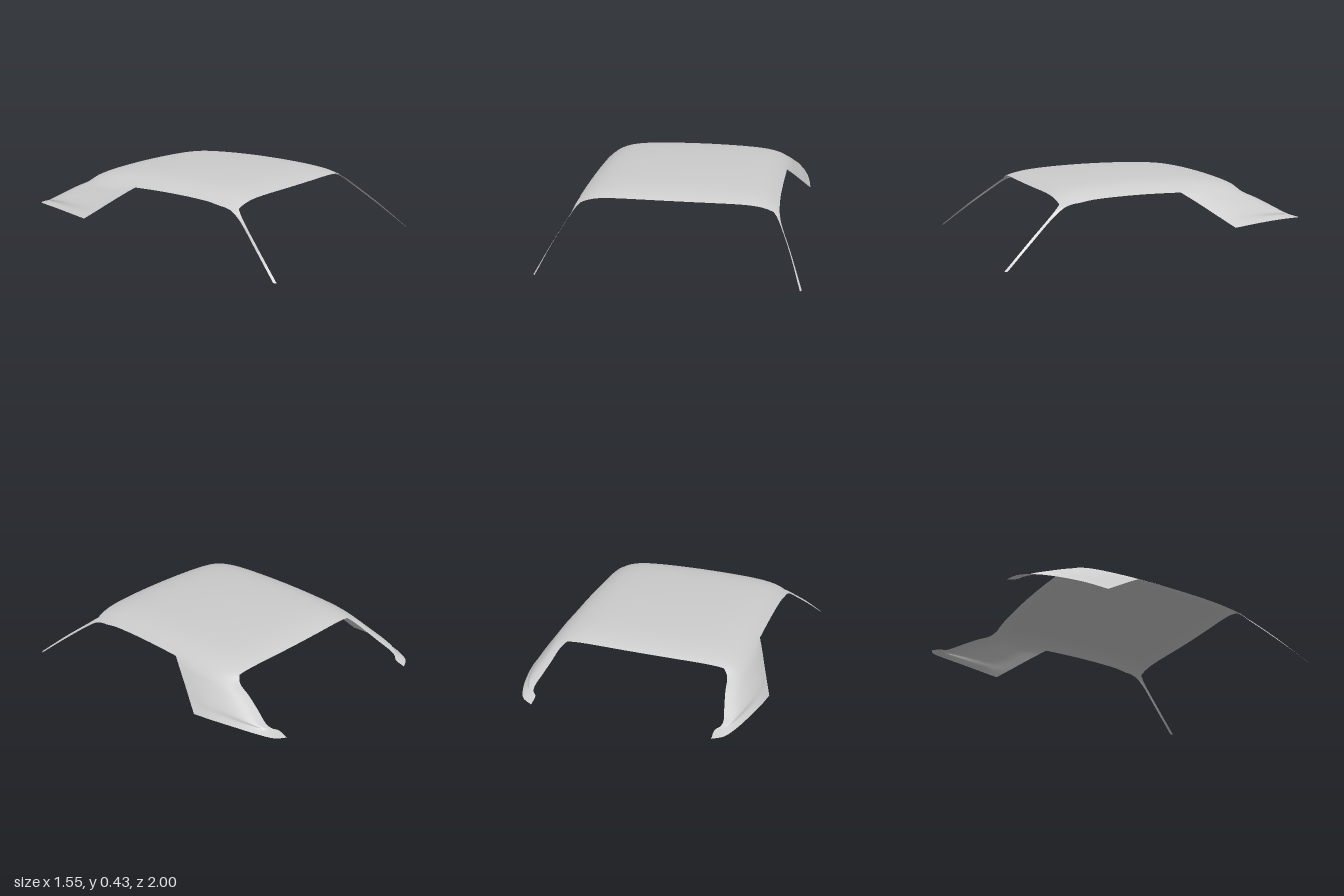
import * as THREE from 'three';

const vec = (p) => new THREE.Vector3(...p);
const curve = (pts) => new THREE.CatmullRomCurve3(pts.map(vec));

// Height of the crowned roof: gentle arc that rolls off near the edges
function roofHeight(x, z) {
  const sx = Math.abs(x) / 0.6, sz = Math.abs(z) / (z > 0 ? 0.645 : 0.597);
  return 0.433 - 0.025 * sx ** 2 - 0.05 * sx ** 8 - 0.03 * sz ** 2 - 0.032 * sz ** 8;
}

// Side edge of the roof, from rear corner to front corner
const edgePoints = [
  [0.50, -0.577], [0.55, -0.53], [0.585, -0.42], [0.603, -0.29], [0.605, -0.15],
  [0.603, 0.15], [0.603, 0.4], [0.606, 0.53], [0.58, 0.612],
];
const edgePlan = curve(edgePoints.map(([x, z]) => [x, 0, z]));
function roofEdge(k) {
  const p = edgePlan.getPoint(k / 8);
  p.y = roofHeight(p.x, p.z);
  return p;
}
const edgeAt = (k) => roofEdge(k).toArray();

// Surface over a grid of (a, b) in 0..1
function surface(f, na, nb) {
  const pos = [], index = [];
  for (let j = 0; j <= nb; j++) {
    for (let i = 0; i <= na; i++) {
      pos.push(...f(i / na, j / nb).toArray());
      if (i < na && j < nb) {
        const p = j * (na + 1) + i, q = p + na + 1;
        index.push(p, q, p + 1, p + 1, q, q + 1);
      }
    }
  }
  const g = new THREE.BufferGeometry();
  g.setAttribute('position', new THREE.Float32BufferAttribute(pos, 3));
  g.setIndex(index);
  g.computeVertexNormals();
  return g;
}

// Patch filling four boundary curves: top and bottom rows, start and end sides
function patch(top, bottom, start, end) {
  const mix = (p, q, t) => p.clone().lerp(q, t);
  return (a, b) => {
    const rows = mix(top(a), bottom(a), b);
    const sides = mix(start(b), end(b), a);
    const corners = mix(mix(top(0), top(1), a), mix(bottom(0), bottom(1), a), b);
    return rows.add(sides).sub(corners);
  };
}

const mirrored = (f) => (a, b) => {
  const p = f(1 - a, b);
  p.x = -p.x;
  return p;
};

// Average the normals where neighbouring parts touch
function blendSeams(geometries) {
  const sums = new Map();
  const each = (fn) => geometries.forEach((g) => {
    const { position, normal } = g.attributes;
    for (let i = 0; i < position.count; i++) {
      const p = new THREE.Vector3().fromBufferAttribute(position, i);
      fn(p.toArray().map((c) => Math.round(c * 1e4)).join(), normal, i);
    }
  });
  each((key, normal, i) => {
    if (!sums.has(key)) sums.set(key, new THREE.Vector3());
    sums.get(key).add(new THREE.Vector3().fromBufferAttribute(normal, i));
  });
  each((key, normal, i) => {
    const n = sums.get(key).clone().normalize();
    normal.setXYZ(i, n.x, n.y, n.z);
  });
}

export function createModel() {
  const group = new THREE.Group();
  group.name = 'roofShell';
  const material = new THREE.MeshStandardMaterial({ color: 0xcccccc, side: THREE.DoubleSide });

  // Roof panel with bowed front and rear edges
  const roof = (a, b) => {
    const u = a * 2 - 1, e = roofEdge(b * 8);
    const x = u * e.x;
    const z = e.z + (1 - u * u) * THREE.MathUtils.lerp(-0.02, 0.033, b);
    return new THREE.Vector3(x, roofHeight(x, z), z);
  };

  // Broad rear pillar: flares outward and ends in a small inward hook
  const rearOuter = curve([edgeAt(4), [0.635, 0.312, -0.21], [0.675, 0.252, -0.295],
    [0.712, 0.196, -0.372], [0.75, 0.14, -0.45]]);
  const rearInner = curve([edgeAt(0), [0.53, 0.322, -0.61], [0.547, 0.28, -0.70],
    [0.568, 0.232, -0.79], [0.588, 0.188, -0.87], [0.582, 0.172, -0.905],
    [0.556, 0.16, -0.935], [0.555, 0.14, -1.0]]);
  const rearFoot = curve([[0.75, 0.14, -0.45], [0.735, 0.152, -0.59], [0.705, 0.158, -0.74],
    [0.665, 0.156, -0.88], [0.62, 0.148, -0.965], [0.555, 0.14, -1.0]]);
  const rearPillar = patch((a) => roofEdge(4 - 4 * a), (a) => rearFoot.getPoint(a),
    (b) => rearOuter.getPoint(b), (b) => rearInner.getPoint(b));

  // Slender front pillar running forward and down
  const frontInner = curve([edgeAt(8), [0.597, 0.308, 0.632], [0.618, 0.28, 0.665],
    [0.692, 0.155, 0.82], [0.765, 0, 1.0]]);
  const frontOuter = curve([edgeAt(7), [0.613, 0.312, 0.585], [0.63, 0.268, 0.655],
    [0.702, 0.142, 0.815], [0.775, 0, 0.985]]);
  const frontPillar = patch((a) => roofEdge(8 - a),
    (a) => vec([0.765, 0, 1.0]).lerp(vec([0.775, 0, 0.985]), a),
    (b) => frontInner.getPoint(b), (b) => frontOuter.getPoint(b));

  const parts = [
    ['roofPanel', surface(roof, 32, 32)],
    ['leftRearPillar', surface(rearPillar, 16, 28)],
    ['rightRearPillar', surface(mirrored(rearPillar), 16, 28)],
    ['leftFrontPillar', surface(frontPillar, 4, 20)],
    ['rightFrontPillar', surface(mirrored(frontPillar), 4, 20)],
  ];
  blendSeams(parts.map(([, g]) => g));
  for (const [name, geometry] of parts) {
    const mesh = new THREE.Mesh(geometry, material);
    mesh.name = name;
    group.add(mesh);
  }
  return group;
}
